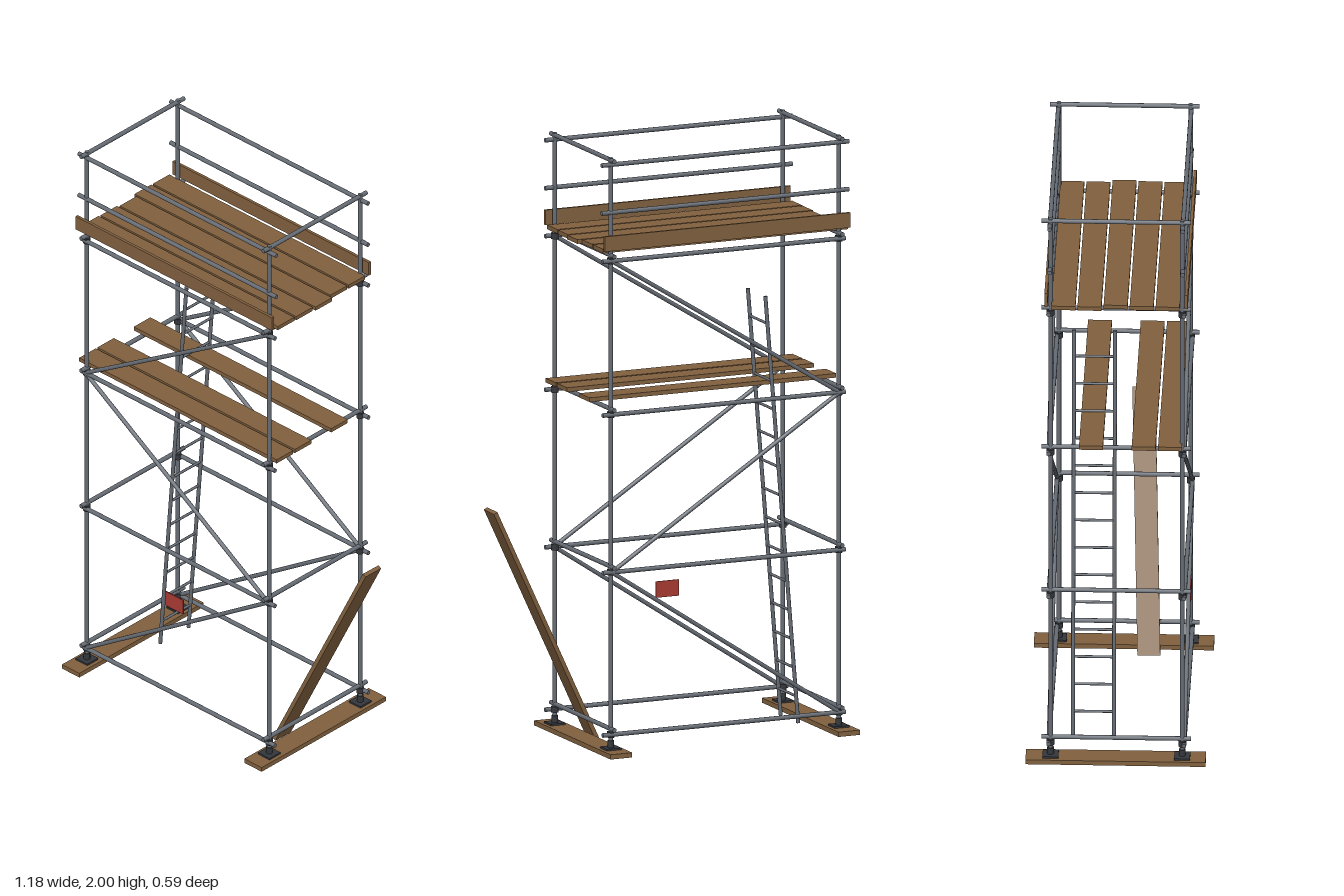
import * as THREE from 'three';

export function createModel() {
  const model = new THREE.Group();
  model.name = 'scaffoldTower';
  const mat = (name, color) => Object.assign(new THREE.MeshStandardMaterial({ color }), { name });
  const steel = mat('steel', 0x666c74);
  const darkSteel = mat('darkSteel', 0x33363b);
  const wood = mat('wood', 0x80603f);
  const red = mat('red', 0xa83a32);

  const add = (name, geometry, material, parent = model) => {
    const mesh = new THREE.Mesh(geometry, material);
    mesh.name = name;
    parent.add(mesh);
    return mesh;
  };
  // Round tube between two points
  const tube = (name, a, b, r = 0.0075, material = steel, parent = model) => {
    const p = new THREE.Vector3(...a), q = new THREE.Vector3(...b);
    const mesh = add(name, new THREE.CylinderGeometry(r, r, p.distanceTo(q), 10), material, parent);
    mesh.position.copy(p).add(q).multiplyScalar(0.5);
    mesh.quaternion.setFromUnitVectors(new THREE.Vector3(0, 1, 0), q.sub(p).normalize());
    return mesh;
  };
  // Box given by its limits on each axis
  const box = (name, [x0, x1], [y0, y1], [z0, z1], material) => {
    const mesh = add(name, new THREE.BoxGeometry(x1 - x0, y1 - y0, z1 - z0), material);
    mesh.position.set((x0 + x1) / 2, (y0 + y1) / 2, (z0 + z1) / 2);
    return mesh;
  };

  const postX = [-0.55, 0.272], postZ = 0.215;
  const ledgerY = [0.075, 0.617, 1.143, 1.656];
  const transomY = [0.093, 0.635, 1.161, 1.674, 1.992];
  const railY = [1.817, 1.977];

  // Sole boards, posts, base plates and cross tubes
  for (const x of postX) {
    box('soleBoard', [x - 0.039, x + 0.039], [0.01, 0.026], [-0.296, 0.292], wood);
    for (const y of transomY) tube('transom', [x, y, -0.244], [x, y, 0.244]);
    for (const s of [-1, 1]) {
      const z = s * postZ;
      tube('post', [x, 0.03, z], [x, 2, z]);
      box('basePlate', [x - 0.026, x + 0.026], [0.026, 0.032], [z - 0.026, z + 0.026], darkSteel);
      tube('baseCollar', [x, 0.03, z], [x, 0.055, z], 0.011, darkSteel);
      for (const y of ledgerY) tube('coupler', [x, y - 0.01, z], [x, y + 0.01, z], 0.0125, darkSteel);
    }
  }

  // Ledgers, guard rails, zigzag braces and toe boards on both long sides
  for (const s of [-1, 1]) {
    for (const y of ledgerY) tube('ledger', [-0.57, y, s * 0.221], [0.305, y, s * 0.221]);
    for (const y of railY) tube('guardRail', [-0.585, y, s * 0.217], [0.307, y, s * 0.217]);
    for (let i = 0; i < 3; i++) {
      tube('diagonalBrace', [postX[i % 2], ledgerY[i], s * 0.221], [postX[(i + 1) % 2], ledgerY[i + 1], s * 0.221], 0.007);
    }
    box('toeBoard', [-0.583, 0.302], [1.692, 1.742], [s * 0.229 - 0.005, s * 0.229 + 0.005], wood);
  }

  // Deck boards, with slightly uneven ends
  const board = (x0, x1, y, z) => box('deckBoard', [x0, x1], [y, y + 0.014], [z - 0.039, z + 0.039], wood);
  const shifts = [-0.003, -0.004, 0.01, 0.004, 0.002];
  shifts.forEach((d, i) => board(-0.582 + d, 0.301 + d, 1.682, -0.172 + i * 0.085));
  for (const z of [0.176, 0.09, -0.082]) board(-0.585, 0.305, 1.169, z);

  // Ladder leaning inside the frame
  const ladder = new THREE.Group();
  ladder.name = 'ladder';
  model.add(ladder);
  const ladderX = (y) => -0.436 + (y - 0.035) * 0.0825;
  for (const z of [-0.012, -0.146]) {
    tube('ladderRail', [ladderX(0.035), 0.035, z], [ladderX(1.47), 1.47, z], 0.0065, steel, ladder);
  }
  for (let i = 0; i < 14; i++) {
    const y = 0.125 + i * 0.0964;
    tube('ladderRung', [ladderX(y), y, -0.012], [ladderX(y), y, -0.146], 0.0045, steel, ladder);
  }

  // Loose plank leaning against the end
  const low = new THREE.Vector3(0.2, 0.005, 0.081), high = new THREE.Vector3(0.58, 0.797, 0.052);
  const along = high.clone().sub(low).normalize();
  const normal = along.clone().cross(new THREE.Vector3(0, 0, 1)).normalize();
  const across = normal.clone().cross(along);
  const plank = add('leaningPlank', new THREE.BoxGeometry(0.014, low.distanceTo(high), 0.075), wood);
  plank.quaternion.setFromRotationMatrix(new THREE.Matrix4().makeBasis(normal, along, across));
  plank.position.copy(low).add(high).multiplyScalar(0.5);

  // Small red sign on the front
  box('sign', [-0.182, -0.1], [0.41, 0.464], [0.228, 0.232], red);

  return model;
}
